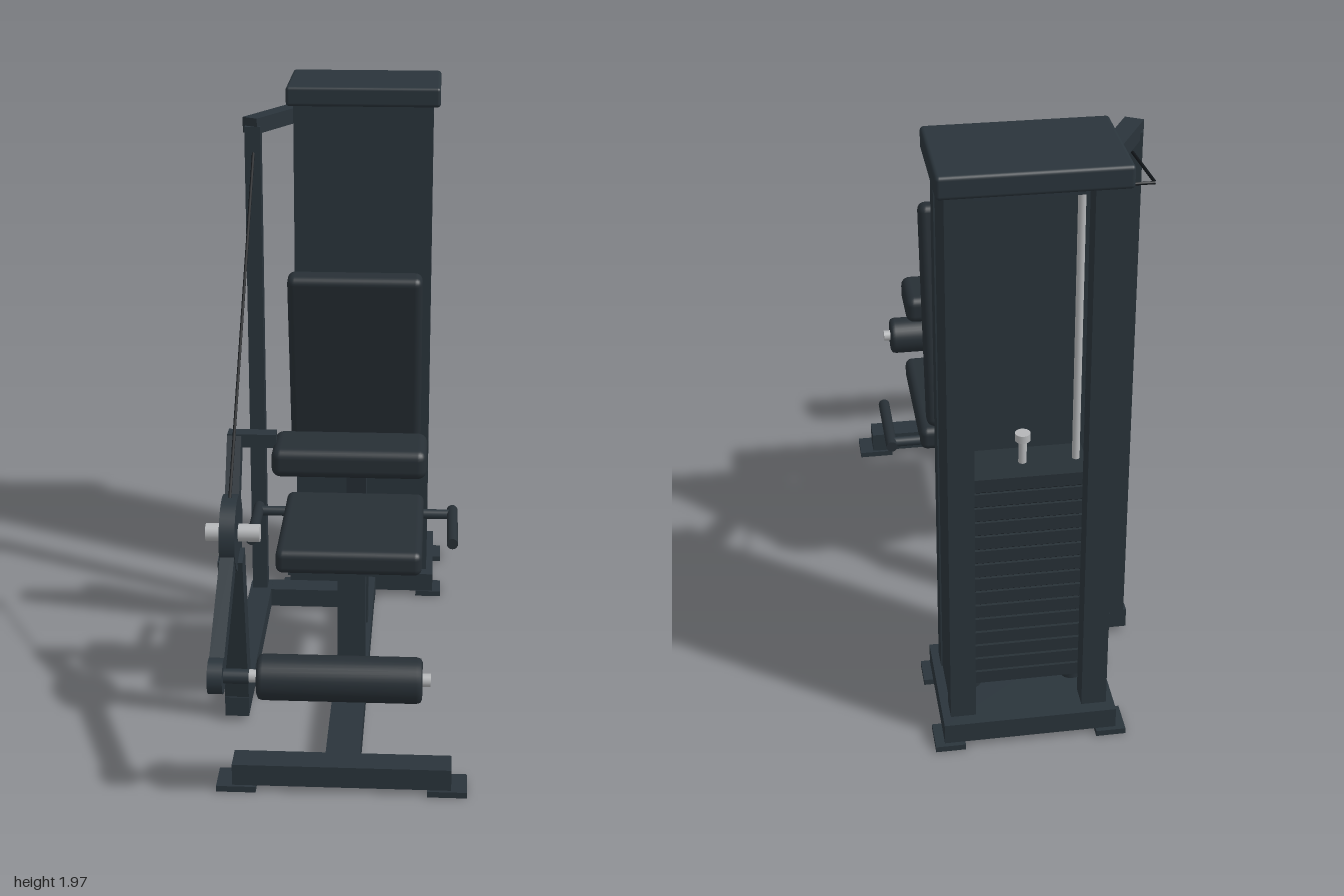
import * as THREE from 'three';
import { RoundedBoxGeometry } from 'three/addons/geometries/RoundedBoxGeometry.js';

const material = (name, color) => {
  const m = new THREE.MeshStandardMaterial({ color });
  m.name = name;
  return m;
};

export function createModel() {
  const frame = material('slate frame', 0x2a343b);
  const padding = material('dark padding', 0x272f35);
  const plateMat = material('weight plates', 0x273036);
  const steel = material('bright steel', 0xb4b6b8);
  const black = material('black cable', 0x12161a);

  const model = new THREE.Group();
  model.name = 'legCurlMachine';
  const CX = 0.025; // centre line of the machine

  const add = (name, geometry, mat, x = 0, y = 0, z = 0) => {
    const mesh = new THREE.Mesh(geometry, mat);
    mesh.name = name;
    mesh.position.set(x, y, z);
    model.add(mesh);
    return mesh;
  };
  // Box given by its limits on each axis
  const box = (name, mat, [x0, x1], [y0, y1], [z0, z1], round = 0) => {
    const size = [x1 - x0, y1 - y0, z1 - z0];
    const geo = round ? new RoundedBoxGeometry(...size, 3, round) : new THREE.BoxGeometry(...size);
    return add(name, geo, mat, (x0 + x1) / 2, (y0 + y1) / 2, (z0 + z1) / 2);
  };
  // Rectangular tube running between two points
  const bar = (name, mat, a, b, w, h) => {
    const p = new THREE.Vector3(...a), q = new THREE.Vector3(...b);
    const mesh = add(name, new THREE.BoxGeometry(w, h, p.distanceTo(q)), mat);
    mesh.position.copy(p).add(q).multiplyScalar(0.5);
    mesh.lookAt(q);
    return mesh;
  };
  // Cylinder along x
  const rodX = (name, mat, r, [x0, x1], y, z, sides = 32) =>
    add(name, new THREE.CylinderGeometry(r, r, x1 - x0, sides).rotateZ(Math.PI / 2), mat, (x0 + x1) / 2, y, z);
  const rodY = (name, mat, r, x, [y0, y1], z) =>
    add(name, new THREE.CylinderGeometry(r, r, y1 - y0, 16), mat, x, (y0 + y1) / 2, z);

  // Floor frame
  box('centreBeam', frame, [CX - 0.055, CX + 0.055], [0.02, 0.09], [-0.6, 0.78]);
  box('frontCrossBeam', frame, [-0.32, 0.37], [0.02, 0.092], [0.76, 0.85]);
  box('sideBeam', frame, [-0.39, -0.31], [0.02, 0.09], [-0.485, 0.42]);
  box('sideCrossBeam', frame, [-0.33, CX], [0.02, 0.089], [-0.5, -0.415]);
  box('centreFoot', frame, [CX - 0.055, CX + 0.055], [0, 0.02], [-0.62, -0.525]);

  // Weight tower shell, open at the back
  box('towerBase', frame, [-0.25, 0.3], [0.02, 0.09], [-0.985, -0.575]);
  box('towerFrontPanel', frame, [-0.225, 0.275], [0.09, 1.9], [-0.69, -0.62]);
  box('towerCap', frame, [-0.25, 0.3], [1.895, 1.965], [-0.97, -0.595], 0.012);
  for (const s of [-1, 1]) {
    const at = (a, b) => [CX + s * a, CX + s * b].sort((p, q) => p - q);
    box('towerRearColumn', frame, at(0.17, 0.25), [0.09, 1.9], [-0.945, -0.87]);
    box('towerSidePanel', frame, at(0.225, 0.245), [0.09, 1.9], [-0.87, -0.69]);
    box('towerRearFoot', frame, at(0.21, 0.305), [0, 0.02], [-1, -0.89]);
    box('towerFrontFoot', frame, at(0.21, 0.305), [0, 0.02], [-0.67, -0.57]);
    box('frontFoot', frame, at(0.27, 0.395), [0, 0.02], [0.75, 0.86]);
    rodY('guideRod', steel, 0.012, CX + s * 0.165, [0.09, 1.88], -0.78);
    rodY('rubberBumper', plateMat, 0.035, CX + s * 0.165, [0.09, 0.15], -0.78);

    // Seat handles
    rodX('handleLink', frame, 0.017, at(0.2, 0.345), 0.57, -0.055, 16);
    add('handleGrip', new THREE.CylinderGeometry(0.019, 0.019, 0.29, 20).rotateX(Math.PI / 2),
      padding, CX + s * 0.34, 0.572, 0.055);
  }
  box('towerTopBrace', frame, [-0.15, 0.2], [1.82, 1.895], [-0.82, -0.74]);

  // Weight stack
  const count = 15, step = 0.78 / count;
  for (let i = 0; i < count; i++) {
    const y = 0.15 + i * step;
    box('weightPlate', plateMat, [CX - 0.195, CX + 0.195], [y, y + step - 0.008], [-0.865, -0.7]);
  }
  box('weightStackCore', black, [CX - 0.185, CX + 0.185], [0.15, 0.92], [-0.855, -0.705]);
  rodY('selectorStem', steel, 0.013, CX, [0.92, 1.0], -0.78);
  rodY('selectorHead', steel, 0.024, CX, [1.0, 1.025], -0.78);

  // Cable upright and arm to the tower
  box('cableUpright', frame, [-0.38, -0.325], [0.09, 1.855], [-0.485, -0.425]);
  bar('cableArm', frame, [-0.362, 1.857, -0.44], [-0.22, 1.857, -0.69], 0.06, 0.055);

  // Cable
  const cable = new THREE.CurvePath();
  const points = [[-0.35, 0.845, 0.485], [-0.35, 1.79, -0.455], [-0.35, 1.825, -0.78], [-0.2, 1.825, -0.78]]
    .map(p => new THREE.Vector3(...p));
  for (let i = 0; i < 3; i++) cable.add(new THREE.LineCurve3(points[i], points[i + 1]));
  for (const c of cable.curves) add('cable', new THREE.TubeGeometry(c, 1, 0.005, 8), black);

  // Seat and its post
  box('seatPost', frame, [CX - 0.047, CX + 0.047], [0.09, 0.535], [0.12, 0.215]);
  box('seatPlate', frame, [CX - 0.2, CX + 0.2], [0.535, 0.56], [-0.06, 0.39]);
  box('seatPad', padding, [-0.215, 0.265], [0.55, 0.633], [-0.1, 0.425], 0.025);

  // Backrest
  box('backPost', frame, [CX - 0.042, CX + 0.042], [0.09, 0.52], [-0.24, -0.155]);
  bar('backLowerTube', frame, [CX, 0.48, -0.21], [CX, 0.78, -0.145], 0.07, 0.068);
  bar('backUpperTube', frame, [CX, 0.68, -0.165], [CX, 1.375, -0.113], 0.07, 0.066);
  const lean = Math.atan2(0.15, 0.765);
  const backPad = add('backPad', new RoundedBoxGeometry(0.45, 0.77, 0.08, 3, 0.025), padding, CX, 1.07, -0.08);
  backPad.rotation.x = lean;
  const backPlate = add('backPlate', new THREE.BoxGeometry(0.37, 0.7, 0.02), frame, CX, 1.062, -0.124);
  backPlate.rotation.x = lean;

  // Pivot support, disc and axle
  bar('pivotSupport', frame, [-0.35, 0.08, 0.37], [-0.35, 0.645, 0.482], 0.08, 0.085);
  rodX('pivotDisc', frame, 0.123, [-0.375, -0.325], 0.724, 0.48, 48);
  rodX('pivotAxle', steel, 0.029, [-0.43, -0.255], 0.724, 0.48, 24);

  // Lower lever with ankle roller
  bar('lowerLever', frame, [-0.35, 0.724, 0.48], [-0.35, 0.45, 0.93], 0.046, 0.065);
  rodX('leverEnd', frame, 0.055, [-0.373, -0.327], 0.45, 0.93, 24);
  rodX('rollerLink', frame, 0.023, [-0.35, -0.25], 0.45, 0.93, 20);
  rodX('rollerRod', steel, 0.02, [-0.255, 0.3], 0.45, 0.925, 20);
  const profile = [[0, -0.25], [0.055, -0.25], [0.066, -0.245], [0.07, -0.232],
    [0.07, 0.232], [0.066, 0.245], [0.055, 0.25], [0, 0.25]].map(p => new THREE.Vector2(...p));
  add('ankleRoller', new THREE.LatheGeometry(profile, 36).rotateZ(Math.PI / 2), padding, CX, 0.448, 0.925);

  // Upper lever with thigh pad
  bar('upperLever', frame, [-0.35, 0.724, 0.45], [-0.35, 0.985, 0.305], 0.046, 0.06);
  box('thighPadLink', frame, [-0.373, -0.215], [0.957, 1.002], [0.275, 0.325]);
  box('thighPad', padding, [-0.225, 0.275], [0.883, 0.98], [0.205, 0.41], 0.03);

  return model;
}
